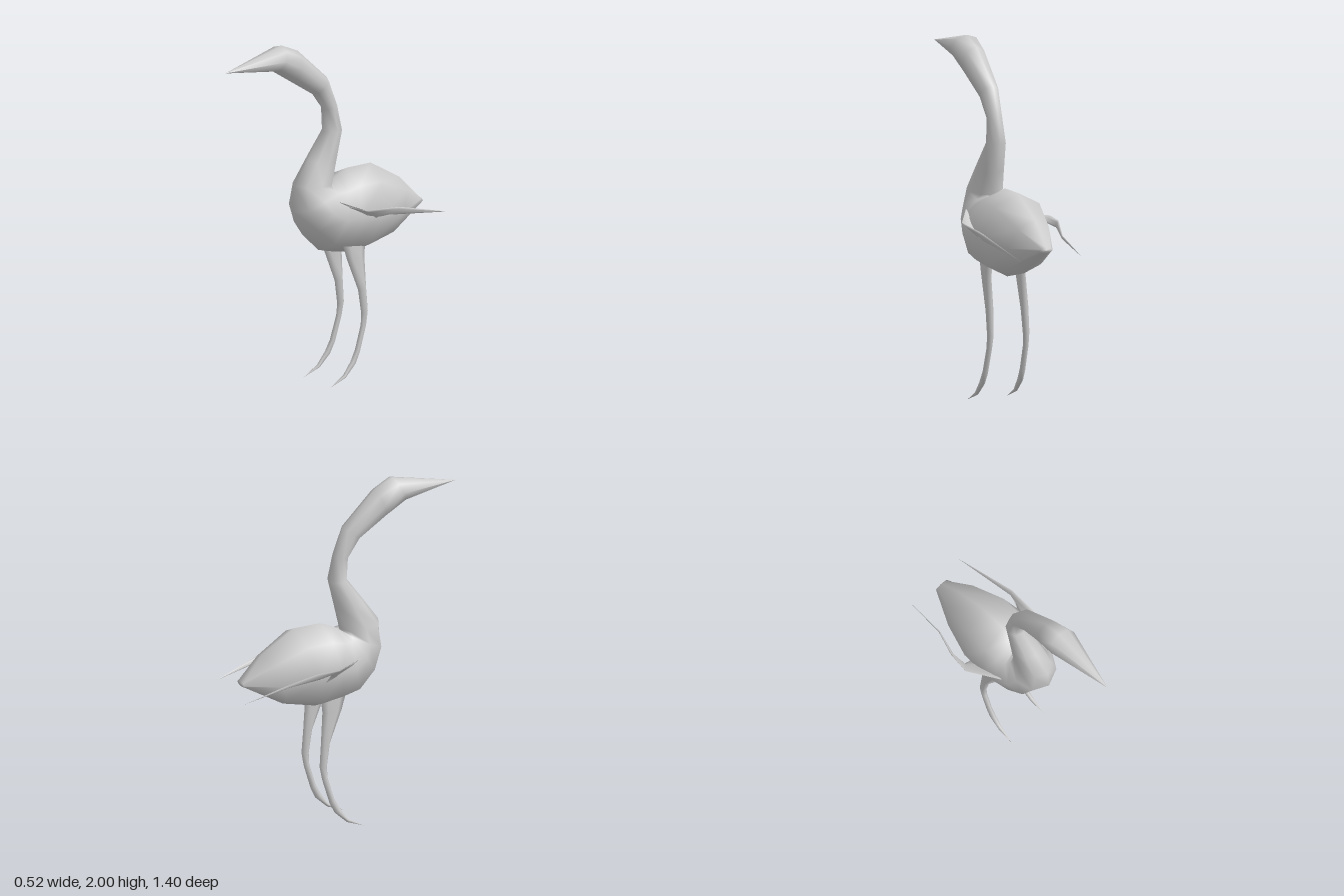
import * as THREE from 'three';

// Cross-section spanning from edge point a to edge point b, with half-width w along x
function ring(a, b, w, sides) {
  const A = new THREE.Vector3(...a), B = new THREE.Vector3(...b);
  const mid = A.clone().add(B).multiplyScalar(0.5), half = A.clone().sub(B).multiplyScalar(0.5);
  return Array.from({ length: sides }, (_, j) => {
    const t = (j / sides) * Math.PI * 2;
    const p = mid.clone().addScaledVector(half, Math.cos(t));
    p.x += w * Math.sin(t);
    return p;
  });
}

// Smooth skin over a row of cross-sections [a, b, halfWidth]
function loft(name, sections, sides, side = THREE.FrontSide) {
  const pos = [], index = [];
  sections.forEach(([a, b, w], i) => {
    ring(a, b, w, sides).forEach((p) => pos.push(p.x, p.y, p.z));
    if (i === sections.length - 1) return;
    for (let j = 0; j < sides; j++) {
      const k = (j + 1) % sides, r = i * sides, s = r + sides;
      index.push(r + j, r + k, s + j, r + k, s + k, s + j);
    }
  });
  const g = new THREE.BufferGeometry();
  g.setAttribute('position', new THREE.Float32BufferAttribute(pos, 3));
  g.setIndex(index);
  g.computeVertexNormals();
  const mesh = new THREE.Mesh(g, new THREE.MeshStandardMaterial({ color: 0xcccccc, side }));
  mesh.name = name;
  return mesh;
}

// Section lying in a plane of constant x: back z, y, front z, y, half-width
const flat = (x) => ([az, ay, bz, by, w]) => [[x, ay, az], [x, by, bz], w];

export function createModel() {
  const bird = new THREE.Group();
  bird.name = 'wadingBird';

  // Bill, head, neck and body as one skin, from bill tip to tail
  const body = [
    [0.70, 1.91, 0.70, 1.91, 0],
    [0.31, 2.00, 0.37, 1.86, 0.088],
    [0.20, 1.95, 0.25, 1.78, 0.075],
    [0.00, 1.76, 0.10, 1.68, 0.055],
    [-0.06, 1.60, 0.03, 1.58, 0.045],
    [-0.09, 1.45, 0.02, 1.45, 0.058],
    [-0.05, 1.28, 0.13, 1.30, 0.078],
    [-0.02, 1.15, 0.22, 1.17, 0.095],
    [-0.02, 1.15, 0.23, 1.02, 0.13],
    [-0.03, 1.155, 0.17, 0.88, 0.165],
    [-0.07, 1.18, 0.06, 0.77, 0.19],
    [-0.14, 1.21, -0.05, 0.74, 0.2],
    [-0.30, 1.21, -0.17, 0.72, 0.2],
    [-0.50, 1.09, -0.37, 0.77, 0.135],
    [-0.63, 0.955, -0.63, 0.925, 0.042],
    [-0.635, 0.94, -0.635, 0.94, 0],
  ];
  bird.add(loft('bodyNeckAndHead', body.map(flat(0.017)), 8));

  // Thin legs sweeping forward into pointed toes
  const leg = [
    [-0.19, 0.82, -0.03, 0.82, 0.016],
    [-0.18, 0.72, -0.06, 0.72, 0.018],
    [-0.19, 0.54, -0.135, 0.53, 0.02],
    [-0.20, 0.40, -0.155, 0.39, 0.017],
    [-0.185, 0.32, -0.15, 0.32, 0.015],
    [-0.14, 0.17, -0.11, 0.19, 0.015],
    [-0.11, 0.11, -0.075, 0.125, 0.015],
    [-0.035, 0.04, -0.03, 0.06, 0.012],
    [0.07, 0, 0.07, 0, 0],
  ];
  for (const [name, s] of [['leftLeg', 1], ['rightLeg', -1]]) {
    const sections = leg.map((r, i) => flat(0.015 + s * (0.104 + 0.0025 * i))(r));
    bird.add(loft(name, sections, 6));
  }

  // Thin wings: out from the flank, then trailing back to a point
  const wings = {
    leftWing: [
      [[0.17, 1.08, 0.03], [0.19, 0.93, -0.20], 0.012],
      [[0.258, 1.03, -0.09], [0.212, 0.96, -0.22], 0.008],
      [[0.258, 1.01, -0.32], [0.245, 0.965, -0.31], 0.008],
      [[0.20, 0.90, -0.69], [0.20, 0.90, -0.69], 0],
    ],
    rightWing: [
      [[-0.15, 1.03, 0.03], [-0.17, 0.93, -0.20], 0.012],
      [[-0.262, 1.035, -0.145], [-0.225, 1.0, -0.19], 0.008],
      [[-0.245, 1.03, -0.28], [-0.235, 0.99, -0.27], 0.007],
      [[-0.19, 0.975, -0.43], [-0.188, 0.955, -0.43], 0.004],
      [[-0.17, 0.90, -0.70], [-0.17, 0.90, -0.70], 0],
    ],
  };
  for (const [name, sections] of Object.entries(wings))
    bird.add(loft(name, sections, 6, THREE.DoubleSide));

  return bird;
}
